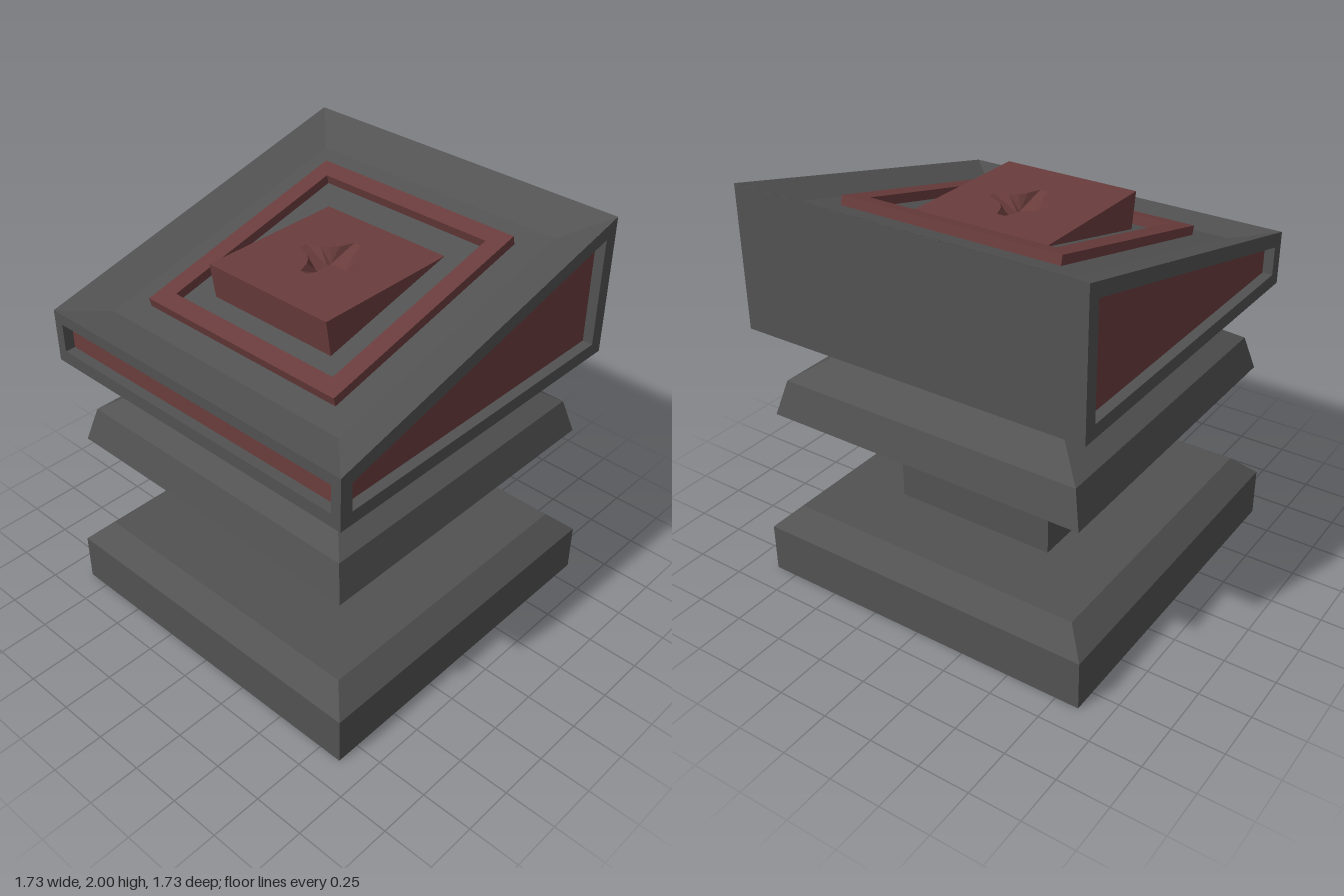
import * as THREE from 'three';

const slope = 0.243;                              // tilt of the head's top
const deckY = (z) => 1.735 - slope * z;           // sunken deck height
const rimY = (z) => 1.79 - slope * z;             // outer rim height

// Flat-shaded skin over equal-length loops, counter-clockwise from outside
function loft(loops, capStart = false, capEnd = false) {
  const pos = [];
  const tri = (...pts) => pts.forEach((p) => pos.push(...p));
  const fan = (l) => { for (let i = 1; i < l.length - 1; i++) tri(l[0], l[i], l[i + 1]); };
  for (let k = 0; k < loops.length - 1; k++) {
    const a = loops[k], b = loops[k + 1], n = a.length;
    for (let i = 0; i < n; i++) {
      const j = (i + 1) % n;
      tri(a[i], a[j], b[j]);
      tri(a[i], b[j], b[i]);
    }
  }
  if (capStart) fan([...loops[0]].reverse());
  if (capEnd) fan(loops[loops.length - 1]);
  const g = new THREE.BufferGeometry();
  g.setAttribute('position', new THREE.Float32BufferAttribute(pos, 3));
  g.computeVertexNormals();
  return g;
}

// Rectangle seen from above; y may be a number or a function of z
function rect(hx, hz, y) {
  const f = typeof y === 'function' ? y : () => y;
  return [[hx, hz], [hx, -hz], [-hx, -hz], [-hx, hz]].map(([x, z]) => [x, f(z), z]);
}
const square = ([h, y]) => rect(h, h, y);

export function createModel() {
  const model = new THREE.Group();
  model.name = 'pedestal';
  const stone = new THREE.MeshStandardMaterial({ color: 0x525252 });
  stone.name = 'dark grey';
  const red = new THREE.MeshStandardMaterial({ color: 0x6a3c3c });
  red.name = 'dull red';
  const add = (name, geo, mat, parent = model) => {
    const m = new THREE.Mesh(geo, mat);
    m.name = name;
    parent.add(m);
    return m;
  };

  // Square stacked stonework: [half width, height]
  const stack = {
    base: [[0.865, 0], [0.865, 0.245], [0.76, 0.348]],
    column: [[0.415, 0.34], [0.415, 0.88]],
    collar: [[0.815, 0.87], [0.77, 1.04], [0.62, 1.14], [0.715, 1.32]],
  };
  for (const [name, rows] of Object.entries(stack)) {
    add(name, loft(rows.map(square), true, true), stone);
  }

  // Head: underside, back wall, and top sloping in to the sunken deck
  const H = 0.865, y0 = 1.32, depth = 0.05;
  add('headUnderside', loft([square([H, y0])], true), stone);
  add('headBack', loft([[[H, y0, -H], [-H, y0, -H], [-H, 2, -H], [H, 2, -H]]], false, true), stone);
  add('headTop', loft([rect(H, H, rimY), rect(0.68, 0.68, deckY)], false, true), stone);

  // Walls with a recessed red panel
  function panelWall(name, outer, inner, dir) {
    const deep = inner.map((p) => p.map((v, i) => v - dir[i] * depth));
    add(name + 'Wall', loft([outer, inner, deep]), stone);
    add(name + 'Panel', loft([deep], false, true), red);
  }
  panelWall('front',
    [[-H, y0, H], [H, y0, H], [H, 1.58, H], [-H, 1.58, H]],
    [[-0.815, 1.385, H], [0.815, 1.385, H], [0.815, 1.525, H], [-0.815, 1.525, H]],
    [0, 0, 1]);
  for (const s of [1, -1]) {
    const side = (pts) => {
      const l = pts.map(([z, y]) => [s * H, y, z]);
      return s > 0 ? l : l.reverse();
    };
    panelWall(s > 0 ? 'left' : 'right',
      side([[H, y0], [-H, y0], [-H, 2], [H, 1.58]]),
      side([[0.8, 1.385], [-0.797, 1.385], [-0.797, 1.915], [0.8, 1.525]]),
      [s, 0, 0]);
  }

  // Raised frame lying on the tilted deck
  const deck = new THREE.Group();
  deck.name = 'tiltedDeck';
  deck.position.y = deckY(0);
  deck.rotation.x = Math.atan(slope);
  model.add(deck);
  add('frame', loft([rect(0.555, 0.58, -0.01), rect(0.555, 0.58, 0.044),
    rect(0.47, 0.493, 0.044), rect(0.47, 0.493, -0.01)]), red, deck);

  // Level wedge block with a four-pointed star hollow in its top
  const quarter = [[0.17, 0.02], [0.105, 0.045], [0.07, 0.07], [0.045, 0.105], [0.02, 0.17]];
  const star = [];
  for (let q = 0; q < 4; q++) {
    const c = [1, 0, -1, 0][q], s = [0, 1, 0, -1][q];
    for (const [u, v] of quarter) star.push([c * u - s * v, -(s * u + c * v)]);
  }
  const edge = (front, back, y) => star.map(([x, z]) => {
    const m = Math.max(Math.abs(x), Math.abs(z));
    const ez = (z / m) * (z > 0 ? front : back);
    return [(x / m) * 0.345, y(ez), ez];
  });
  const clamp = (v) => THREE.MathUtils.clamp(v, -0.045, 0.045);
  add('wedgeBlock', loft([
    edge(0.365, 0.355, (z) => deckY(z) - 0.02),
    edge(0.395, 0.36, () => 1.82),
    star.map(([x, z]) => [x, 1.82, z]),
    star.map(([x, z]) => [clamp(x), 1.755, clamp(z)]),
  ], false, true), red);

  return model;
}
